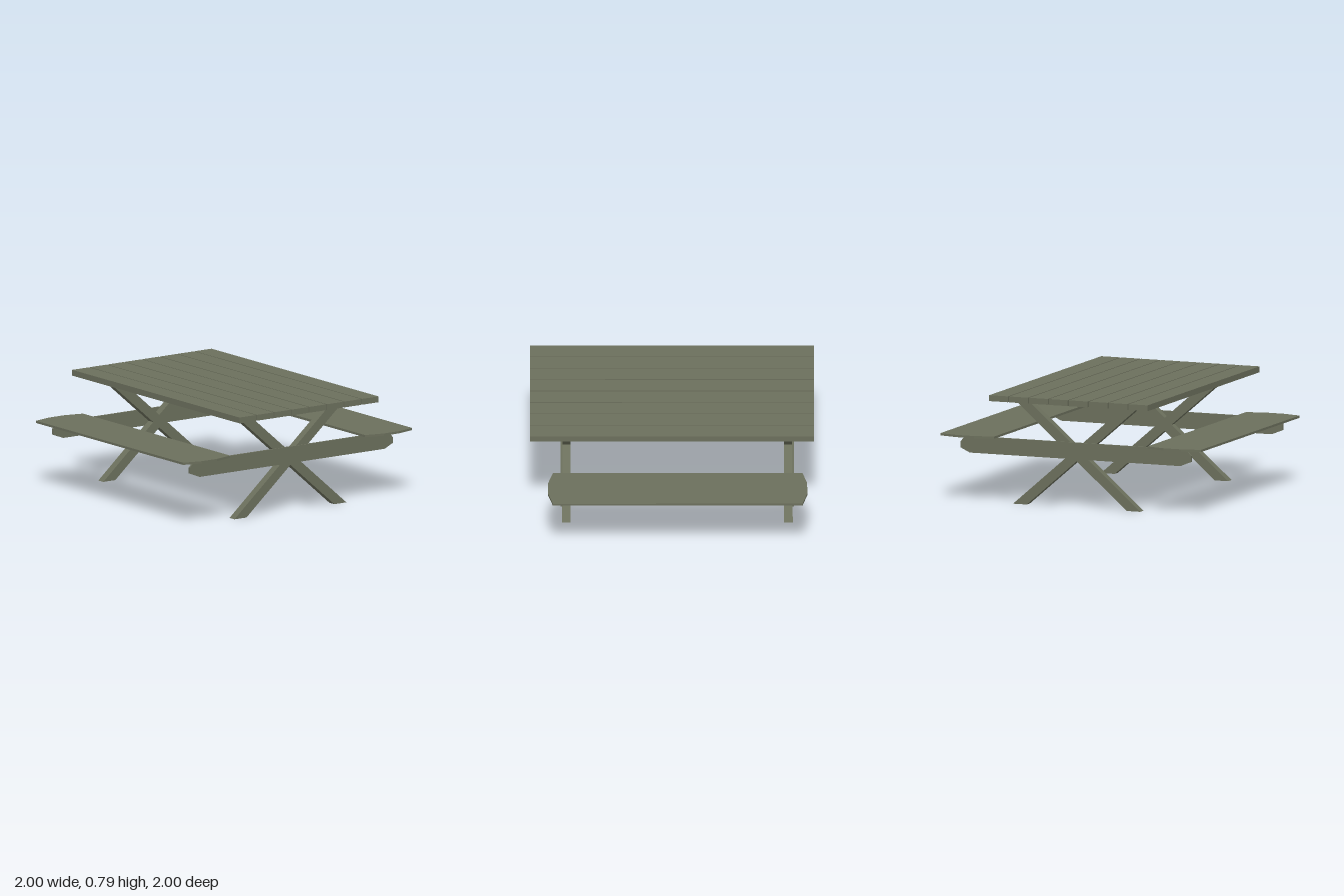
import * as THREE from 'three';

// Prism from a 2D outline, extruded along +z
function prism(points, depth) {
  const shape = new THREE.Shape(points.map(([x, y]) => new THREE.Vector2(x, y)));
  return new THREE.ExtrudeGeometry(shape, { depth, bevelEnabled: false });
}

export function createModel() {
  const group = new THREE.Group();
  const wood = new THREE.MeshStandardMaterial({ color: 0x6b6f5c });
  wood.name = 'weatheredWood';

  const add = (name, geometry, x = 0, y = 0, z = 0) => {
    const mesh = new THREE.Mesh(geometry, wood);
    mesh.name = name;
    mesh.position.set(x, y, z);
    group.add(mesh);
    return mesh;
  };

  // Table top: eight long planks
  const plank = new THREE.BoxGeometry(0.144, 0.042, 2);
  for (let i = 0; i < 8; i++) add('topPlank', plank, -0.552 + i * 0.153, 0.766, 0);

  // Benches: thin boards with clipped ends, laid flat
  const benchOutline = [
    [-0.206, -0.84], [-0.067, -0.875], [0.067, -0.875], [0.206, -0.84],
    [0.206, 0.92], [0.067, 0.953], [-0.067, 0.953], [-0.206, 0.92],
  ];
  const bench = prism(benchOutline, 0.016);
  bench.rotateX(-Math.PI / 2);
  for (const side of [-1, 1]) add(side > 0 ? 'leftBench' : 'rightBench', bench, side * 0.794, 0.465, 0);

  // Crossed legs: slanted bars cut level at floor and table top
  const legThickness = 0.06;
  const legRising = prism([[-0.505, 0], [-0.4, 0], [0.463, 0.746], [0.358, 0.746]], legThickness);
  const legFalling = prism([[0.367, 0], [0.472, 0], [-0.39, 0.746], [-0.497, 0.746]], legThickness);

  // Rails: chamfered boards carrying the benches, on the outside of the legs
  const rail = prism([
    [-0.9, 0.38], [-0.815, 0.346], [0.8, 0.346], [0.872, 0.38],
    [0.872, 0.422], [0.832, 0.465], [-0.86, 0.465], [-0.9, 0.422],
  ], 0.014);

  for (const [end, legZ, railZ] of [['front', 0.717, 0.771], ['back', -0.851, -0.861]]) {
    add(end + 'LegRising', legRising, 0, 0, legZ);
    add(end + 'LegFalling', legFalling, 0, 0, legZ);
    add(end + 'Rail', rail, 0, 0, railZ);
  }

  return group;
}
